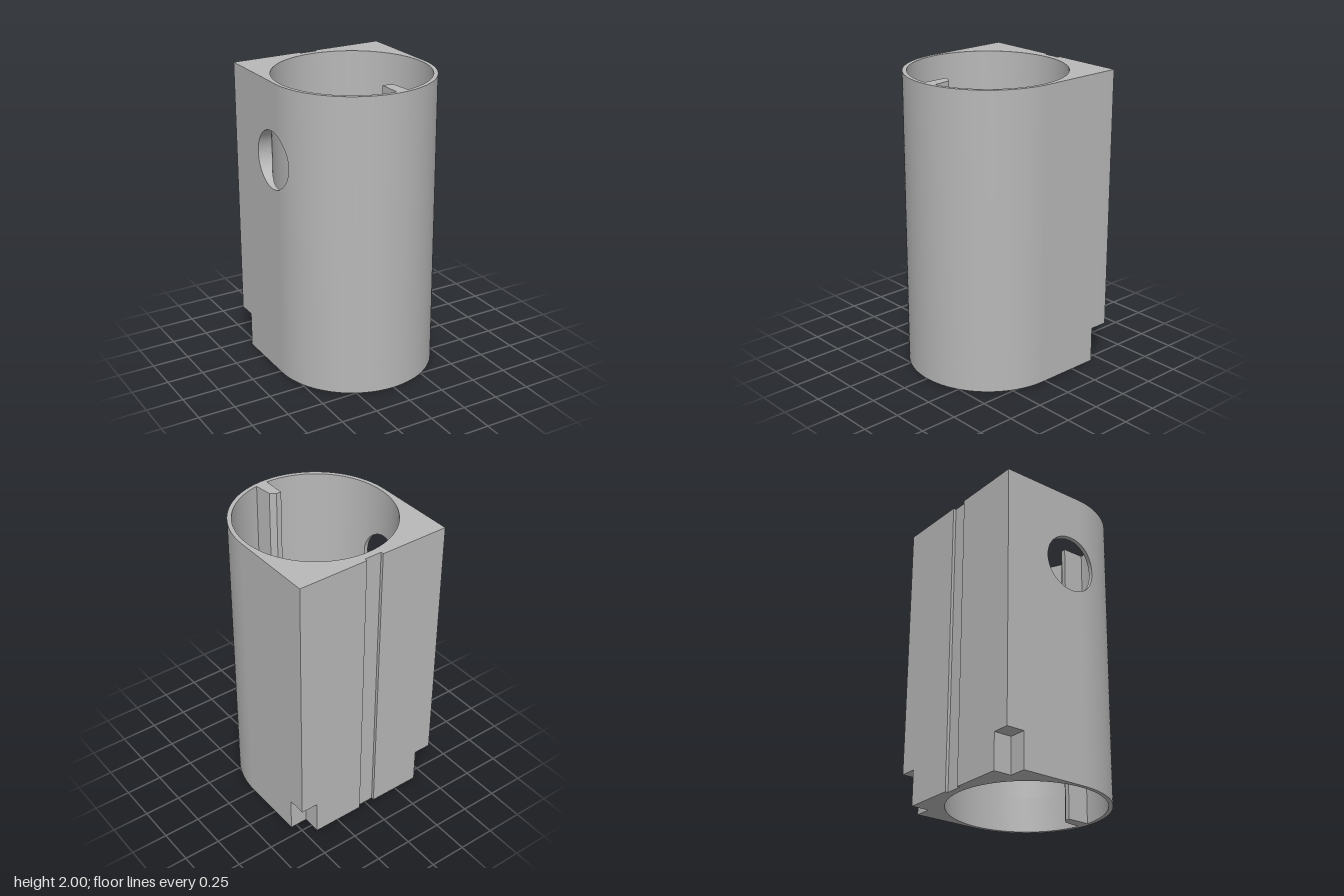
import * as THREE from 'three';
import { toCreasedNormals } from 'three/addons/utils/BufferGeometryUtils.js';

const H = 2, HALF = 0.54, BACK = -0.56, CZ = 0.02; // height, half width, back face, bore centre
const BORE = 0.512;
const HOLE = { y: 1.49, z: -0.047, r: 0.193 };     // round port in the right wall
const Z0 = HOLE.z - HOLE.r, Z1 = HOLE.z + HOLE.r;

const outerX = z => (z <= CZ ? HALF : Math.sqrt(HALF ** 2 - (z - CZ) ** 2));
const innerX = z => Math.sqrt(BORE ** 2 - (z - CZ) ** 2);
const angleAt = (z, r) => Math.PI - Math.asin((z - CZ) / r);

function arc(r, from, to, n) {
  return Array.from({ length: n + 1 }, (_, i) => {
    const a = from + (to - from) * i / n;
    return [r * Math.cos(a), CZ + r * Math.sin(a)];
  });
}

// Extrude an x/z plan upward from y0 to y1
function prism(points, y0, y1) {
  const shape = new THREE.Shape(points.map(([x, z]) => new THREE.Vector2(x, -z)));
  const geo = new THREE.ExtrudeGeometry(shape, { depth: y1 - y0, bevelEnabled: false });
  geo.rotateX(-Math.PI / 2).translate(0, y0, 0);
  return toCreasedNormals(geo, 0.4);
}

// Housing plan, left open where the port strip fits in
function housingPlan(notched) {
  const corner = notched
    ? [[HALF, -0.435], [0.42, -0.435], [0.42, BACK]]
    : [[HALF, BACK]];
  const mirrored = corner.map(([x, z]) => [-x, z]).reverse();
  return [
    ...arc(HALF, angleAt(Z1, HALF), 0, 64),
    ...corner,
    [0.06, BACK], [0.06, -0.54], [-0.06, -0.54], [-0.06, BACK], // back groove
    ...mirrored,
    [-HALF, Z0],
    ...arc(BORE, angleAt(Z0, BORE), 2 * Math.PI + angleAt(Z1, BORE), 112),
  ];
}

// Wall strip with the round port, built column by column
function portWall() {
  const pos = [];
  const quad = (a, b, c, d) => pos.push(...a, ...b, ...c, ...a, ...c, ...d);
  const block = (za, zb, lo, hi) => {
    const o = (z, f) => [-outerX(z), f(z), z];
    const i = (z, f) => [-innerX(z), f(z), z];
    quad(o(za, lo), o(zb, lo), o(zb, hi), o(za, hi)); // outside
    quad(i(zb, lo), i(za, lo), i(za, hi), i(zb, hi)); // bore side
    quad(o(za, hi), o(zb, hi), i(zb, hi), i(za, hi)); // top
    quad(i(za, lo), i(zb, lo), o(zb, lo), o(za, lo)); // underside
  };
  const rise = z => Math.sqrt(Math.max(0, HOLE.r ** 2 - (z - HOLE.z) ** 2));
  const n = 40;
  const zAt = k => HOLE.z - HOLE.r * Math.cos(Math.PI * k / n);
  for (let k = 0; k < n; k++) {
    block(zAt(k), zAt(k + 1), () => 0, z => HOLE.y - rise(z));
    block(zAt(k), zAt(k + 1), z => HOLE.y + rise(z), () => H);
  }
  const geo = new THREE.BufferGeometry();
  geo.setAttribute('position', new THREE.Float32BufferAttribute(pos, 3));
  geo.computeVertexNormals();
  return toCreasedNormals(geo, 0.4);
}

export function createModel() {
  const group = new THREE.Group();
  group.name = 'housing';
  const grey = new THREE.MeshStandardMaterial({ color: 0xb8b8b8 });
  grey.name = 'grey';

  const add = (name, geo) => {
    const mesh = new THREE.Mesh(geo, grey);
    mesh.name = name;
    group.add(mesh);
  };

  add('notchedFoot', prism(housingPlan(true), 0, 0.24));
  add('housingBody', prism(housingPlan(false), 0.24, H));
  add('portWall', portWall());

  // Guide rib inside the front of the bore
  add('guideRib', prism(
    [[0.005, 0.545], [0.005, 0.375], [0.04, 0.376], [0.076, 0.403], [0.091, 0.54]], 0, H));

  return group;
}
